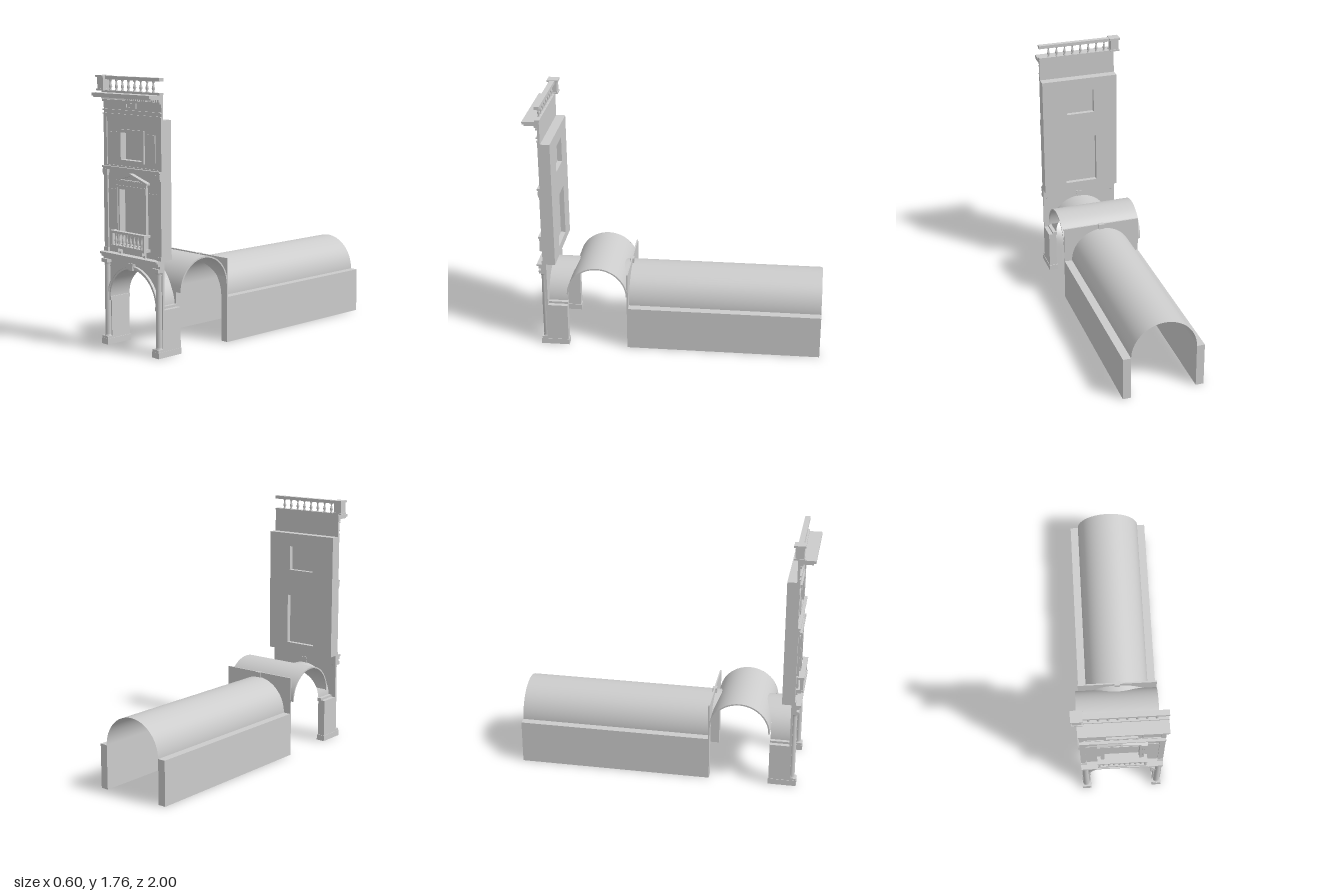
import * as THREE from 'three';
import { ParametricGeometry } from 'three/addons/geometries/ParametricGeometry.js';

const L = -0.26, R = 0.30, CX = 0.02;      // bay edges and centre line
const IN = 0.225, SPRING = 0.305;          // arch radius and springing height
const VZ = 0.54, VR = 0.21, VY = 0.395;    // cross vault centre, radius, springing

export function createModel() {
  const root = new THREE.Group();
  const mat = new THREE.MeshStandardMaterial({ color: 0xcccccc });
  const thin = new THREE.MeshStandardMaterial({ color: 0xcccccc, side: THREE.DoubleSide });

  const add = (name, geo, m = mat, parent = root) => {
    const mesh = new THREE.Mesh(geo, m);
    mesh.name = name;
    parent.add(mesh);
    return mesh;
  };
  const box = (name, x0, x1, y0, y1, z0, z1) => {
    const b = add(name, new THREE.BoxGeometry(x1 - x0, y1 - y0, z1 - z0));
    b.position.set((x0 + x1) / 2, (y0 + y1) / 2, (z0 + z1) / 2);
    return b;
  };
  // the same box on both sides of the bay, given as distances from its centre
  const pair = (name, d0, d1, ...yz) => {
    box(name + 'Left', CX + d0, CX + d1, ...yz);
    box(name + 'Right', CX - d1, CX - d0, ...yz);
  };
  const extrude = (name, shape, z0, z1) => {
    const g = new THREE.ExtrudeGeometry(shape, { depth: z1 - z0, bevelEnabled: false, curveSegments: 32 });
    g.translate(0, 0, z0);
    return add(name, g);
  };
  const rectPath = (P, x0, x1, y0, y1) => {
    const p = new P();
    p.moveTo(x0, y0); p.lineTo(x1, y0); p.lineTo(x1, y1); p.lineTo(x0, y1); p.closePath();
    return p;
  };
  const frame = (name, o, i, z0, z1) => {
    const s = rectPath(THREE.Shape, ...o);
    s.holes.push(rectPath(THREE.Path, ...i));
    return extrude(name, s, z0, z1);
  };
  // wall with an arched opening down to the ground
  const archWall = (name, top, z0, z1) => {
    const s = new THREE.Shape();
    s.moveTo(L, 0); s.lineTo(L, top); s.lineTo(R, top); s.lineTo(R, 0);
    s.lineTo(CX + IN, 0); s.lineTo(CX + IN, SPRING);
    s.absarc(CX, SPRING, IN, 0, Math.PI, false);
    s.lineTo(CX - IN, 0);
    return extrude(name, s, z0, z1);
  };
  const ring = (r0, r1) => {
    const s = new THREE.Shape();
    s.absarc(0, 0, r1, 0, Math.PI, false);
    s.absarc(0, 0, r0, Math.PI, 0, true);
    return s;
  };
  const barrel = (name, z0, z1) => add(name, new ParametricGeometry((u, v, t) => {
    const a = u * Math.PI;
    t.set(CX + IN * Math.cos(a), SPRING + IN * Math.sin(a), z0 + v * (z1 - z0));
  }, 40, 1), thin);

  // long passage
  pair('passageWall', 0.225, 0.28, 0, SPRING, -1, 0.33);
  barrel('passageVault', -1, 0.33);
  archWall('passageArch', 0.565, 0.325, 0.335);
  box('passageKeystone', 0, 0.04, 0.52, 0.565, 0.315, 0.345);

  // cross vault over the middle bay, trimmed where the passage barrel cuts in
  add('crossVault', new ParametricGeometry((u, v, t) => {
    const x = -0.28 + 0.58 * u, d = x - CX;
    const low = Math.max(VY, SPRING + Math.sqrt(Math.max(0, IN * IN - d * d)));
    const a = (v * 2 - 1) * Math.acos((low - VY) / VR);
    t.set(x, VY + VR * Math.cos(a), VZ + VR * Math.sin(a));
  }, 60, 32), thin);
  for (const s of [-1, 1]) {
    const a0 = Math.asin((VY - SPRING) / IN);
    add(s > 0 ? 'frontLunette' : 'backLunette', new ParametricGeometry((u, v, t) => {
      const a = a0 + u * (Math.PI - 2 * a0), y = SPRING + IN * Math.sin(a);
      const h = Math.sqrt(Math.max(0, VR * VR - (y - VY) ** 2));
      t.set(CX + IN * Math.cos(a), y, VZ + s * (VR + v * (h - VR)));
    }, 40, 6), thin);
  }
  for (const x of [-0.28, R - 0.01]) {
    const g = new THREE.ExtrudeGeometry(ring(VR - 0.01, VR), { depth: 0.01, bevelEnabled: false, curveSegments: 32 });
    g.rotateY(Math.PI / 2);
    add('crossVaultRib', g).position.set(x, VY, VZ);
  }

  // entrance arch: piers, short barrel, spandrel wall, mouldings
  pair('pier', 0.225, 0.28, 0, SPRING, 0.75, 0.89);
  pair('pierBase', 0.22, 0.283, 0, 0.04, 0.745, 0.94);
  pair('impost', 0.217, 0.25, SPRING - 0.01, SPRING + 0.015, 0.75, 0.912);
  barrel('entranceVault', 0.75, 0.89);
  archWall('entranceArch', 0.62, 0.885, 0.9);
  extrude('archivolt', ring(IN, 0.245), 0.895, 0.912).position.set(CX, SPRING, 0);
  extrude('archivoltRim', ring(0.238, 0.247), 0.895, 0.918).position.set(CX, SPRING, 0);
  const key = new THREE.Shape();
  key.moveTo(0.005, 0.525); key.lineTo(0.035, 0.525); key.lineTo(0.043, 0.572); key.lineTo(-0.003, 0.572);
  extrude('entranceKeystone', key, 0.88, 0.928);

  // engaged columns beside the arch
  const column = [[0.026, 0.04], [0.027, 0.052], [0.022, 0.06], [0.021, 0.068], [0.021, 0.3],
    [0.018, 0.525], [0.022, 0.53], [0.018, 0.536], [0.025, 0.55]].map(p => new THREE.Vector2(...p));
  for (const s of [-1, 1]) {
    add('column', new THREE.LatheGeometry(column, 24), thin).position.set(CX + s * 0.253, 0, 0.907);
  }
  pair('columnPlinth', 0.223, 0.28, 0, 0.055, 0.89, 0.938);
  pair('columnCapital', 0.222, 0.28, 0.548, 0.572, 0.885, 0.938);
  box('architrave', L, R, 0.572, 0.588, 0.885, 0.922);
  box('stringCourse', L, R, 0.588, 0.606, 0.885, 0.938);
  box('stringCourseTop', L, R, 0.606, 0.62, 0.885, 0.95);

  // upper wall with two window openings
  const low = [-0.1, 0.135, 0.68, 1.04], high = [-0.085, 0.12, 1.23, 1.405];
  const wall = rectPath(THREE.Shape, L, R, 0.62, 1.5);
  for (const w of [low, high]) wall.holes.push(rectPath(THREE.Path, ...w));
  extrude('upperWall', wall, 0.822, 0.897);
  box('lowerWindowPane', low[0], low[1], low[2], low[3], 0.855, 0.863);
  box('upperWindowPane', high[0], high[1], high[2], high[3], 0.855, 0.863);
  pair('pilaster', 0.243, 0.28, 0.62, 1.12, 0.89, 0.908);
  pair('pilasterBase', 0.24, 0.28, 0.62, 0.645, 0.89, 0.914);
  pair('pilasterCapital', 0.24, 0.28, 1.12, 1.135, 0.89, 0.914);
  pair('pilasterCapitalTop', 0.234, 0.28, 1.135, 1.16, 0.89, 0.918);
  pair('wallPanel', 0.15, 0.24, 0.68, 1.035, 0.89, 0.901);

  // lower window: frame, entablature, pediment
  frame('lowerWindowFrame', [-0.125, 0.165, 0.675, 1.065], low, 0.885, 0.91);
  frame('lowerWindowFrameRim', [-0.125, 0.165, 0.675, 1.065], [-0.114, 0.154, 0.685, 1.053], 0.885, 0.916);
  box('lowerWindowFrieze', -0.12, 0.16, 1.065, 1.09, 0.885, 0.91);
  box('pedimentBase', -0.145, 0.185, 1.088, 1.1, 0.885, 0.928);
  const tri = (h, w, y) => {
    const s = new THREE.Shape();
    s.moveTo(CX - w, y); s.lineTo(CX + w, y); s.lineTo(CX, y + h);
    return s;
  };
  const ped = tri(0.05, 0.165, 1.1);
  ped.holes.push(tri(0.028, 0.105, 1.104));
  extrude('pedimentMoulding', ped, 0.885, 0.926);
  extrude('pedimentField', tri(0.045, 0.15, 1.1), 0.885, 0.908);

  // upper window with side panels, storey cornices
  box('storeyCornice', L, R, 1.16, 1.17, 0.885, 0.915);
  box('storeyCorniceTop', L, R, 1.17, 1.182, 0.885, 0.922);
  frame('upperWindowFrame', [-0.102, 0.138, 1.215, 1.425], high, 0.885, 0.908);
  pair('sidePanel', 0.125, 0.22, 1.23, 1.405, 0.885, 0.903);
  frame('upperWallBorder', [L, R, 1.182, 1.52], [-0.23, 0.27, 1.19, 1.497], 0.887, 0.903);
  box('atticWall', L, R, 1.5, 1.64, 0.885, 0.9);
  box('atticMoulding', L, R, 1.515, 1.522, 0.885, 0.909);
  box('atticMouldingTop', L, R, 1.54, 1.548, 0.885, 0.911);
  frame('plaqueFrame', [-0.03, 0.067, 1.56, 1.594], [-0.025, 0.062, 1.565, 1.589], 0.885, 0.908);

  // main cornice
  box('corniceBed', L, R, 1.598, 1.61, 0.885, 0.912);
  for (let i = 0; i < 28; i++) {
    const x = L + 0.004 + i * 0.02;
    box('dentil', x, x + 0.012, 1.612, 1.626, 0.885, 0.92);
  }
  box('corniceSoffit', L, R, 1.627, 1.636, 0.885, 0.985);
  box('corniceTop', L, R, 1.636, 1.655, 0.885, 1.0);

  // balusters shared by the balcony and the roof balustrade
  const turned = new THREE.LatheGeometry([[0.01, 0], [0.01, 0.08], [0.005, 0.14], [0.011, 0.35], [0.0085, 0.5],
    [0.005, 0.72], [0.005, 0.86], [0.009, 0.9], [0.009, 1]].map(p => new THREE.Vector2(...p)), 12);
  const baluster = (x, y, z, h, w = 1) => {
    const b = add('baluster', turned, thin);
    b.position.set(x, y, z);
    b.scale.set(w, h, w);
  };

  // balcony
  box('balconyFloor', -0.145, 0.185, 0.662, 0.68, 0.89, 0.952);
  box('balconyRail', -0.148, 0.188, 0.757, 0.773, 0.922, 0.955);
  pair('balconyPost', 0.148, 0.163, 0.68, 0.757, 0.928, 0.95);
  pair('balconySideRail', 0.143, 0.168, 0.757, 0.773, 0.89, 0.93);
  for (let i = 0; i < 8; i++) baluster(CX + (i - 3.5) * 0.036, 0.68, 0.938, 0.077, 0.9);
  pair('balconyBracket', 0.11, 0.125, 0.635, 0.662, 0.89, 0.935);
  pair('balconyBracketFoot', 0.11, 0.125, 0.62, 0.637, 0.89, 0.912);

  // roof balustrade with end pedestal
  box('balustradeBase', L, R, 1.655, 1.668, 0.882, 0.915);
  box('balustradeRail', -0.225, R, 1.738, 1.76, 0.88, 0.915);
  for (let i = 0; i < 8; i++) baluster(-0.19 + i * 0.0595, 1.668, 0.898, 0.07);
  box('pedestal', -0.292, -0.232, 1.665, 1.75, 0.868, 0.925);
  box('pedestalCap', -0.3, -0.224, 1.75, 1.763, 0.858, 0.934);
  box('pedestalFoot', -0.297, -0.227, 1.665, 1.676, 0.862, 0.93);
  return root;
}
